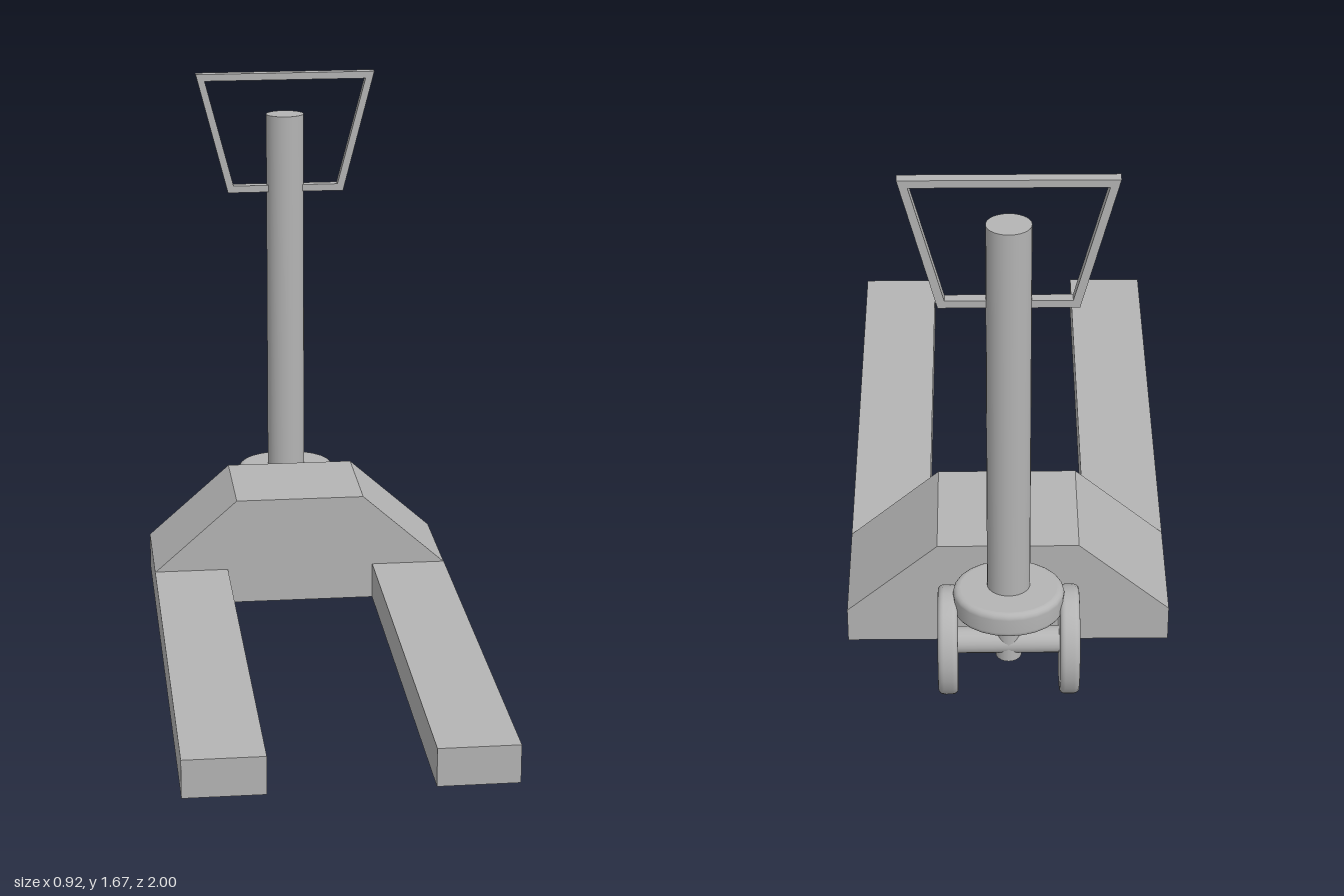
import * as THREE from 'three';

const grey = new THREE.MeshStandardMaterial({ color: 0xb4b4b4 });
grey.name = 'grey steel';

function add(group, name, geometry, x = 0, y = 0, z = 0) {
  const mesh = new THREE.Mesh(geometry, grey);
  mesh.name = name;
  mesh.position.set(x, y, z);
  group.add(mesh);
  return mesh;
}

function shapeFrom(points) {
  return new THREE.Shape(points.map(([x, y]) => new THREE.Vector2(x, y)));
}

// Extrusion running from z0 to z1
function extrude(shape, z0, z1) {
  const g = new THREE.ExtrudeGeometry(shape, { depth: z1 - z0, bevelEnabled: false });
  return g.translate(0, 0, z0);
}

// Disc about the y axis with rounded rims
function roundedDisc(radius, height, round) {
  const h = height / 2;
  const points = [new THREE.Vector2(0, -h), new THREE.Vector2(radius - round - 0.002, -h)];
  for (const [cy, start] of [[-h + round, -Math.PI / 2], [h - round, 0]]) {
    for (let i = 0; i <= 4; i++) {
      const a = start + (i / 4) * Math.PI / 2;
      points.push(new THREE.Vector2(radius - round + round * Math.cos(a), cy + round * Math.sin(a)));
    }
  }
  points.push(new THREE.Vector2(radius - round - 0.002, h), new THREE.Vector2(0, h));
  return new THREE.LatheGeometry(points, 24);
}

export function createModel() {
  const model = new THREE.Group();
  model.name = 'palletTruck';
  const steerZ = -0.865, poleZ = -0.853, axleY = 0.17;

  // Chassis with sloping shoulders
  add(model, 'chassis', extrude(shapeFrom([
    [-0.46, 0.06], [0.46, 0.06], [0.46, 0.17], [0.2, 0.4], [-0.2, 0.4], [-0.46, 0.17],
  ]), -0.735, -0.385));

  // Forks and steering wheels, mirrored
  for (const [side, s] of [['left', 1], ['right', -1]]) {
    add(model, side + 'Fork', new THREE.BoxGeometry(0.23, 0.112, 1.385), s * 0.345, 0.116, 0.3075);
    const wheel = add(model, side + 'Wheel',
      roundedDisc(0.167, 0.056, 0.016).rotateZ(Math.PI / 2).scale(1, 1, 0.8), s * 0.17, axleY, steerZ);
    wheel.name = side + 'Wheel';
  }

  // Axle, stem and turntable
  add(model, 'axle', new THREE.CylinderGeometry(0.038, 0.038, 0.3, 20).rotateZ(Math.PI / 2), 0, axleY, steerZ);
  add(model, 'stem', new THREE.CylinderGeometry(0.037, 0.037, 0.18, 20), 0, 0.21, steerZ);
  add(model, 'turntable', roundedDisc(0.155, 0.08, 0.018).scale(1, 1, 0.82), 0, 0.32, steerZ);

  // Pole
  add(model, 'pole', new THREE.CylinderGeometry(0.06, 0.06, 1.185, 28).scale(1, 1, 0.88), 0, 0.9425, poleZ);

  // Trapezoid handle, its lower bar meeting the pole from both sides
  add(model, 'handle', extrude(shapeFrom([
    [0.05, 1.286], [0.185, 1.286], [0.284, 1.67], [-0.284, 1.67], [-0.185, 1.286], [-0.05, 1.286],
    [-0.05, 1.308], [-0.167, 1.308], [-0.256, 1.648], [0.256, 1.648], [0.167, 1.308], [0.05, 1.308],
  ]), -0.861, -0.831).translate(0, 0, -0.001));

  return model;
}
